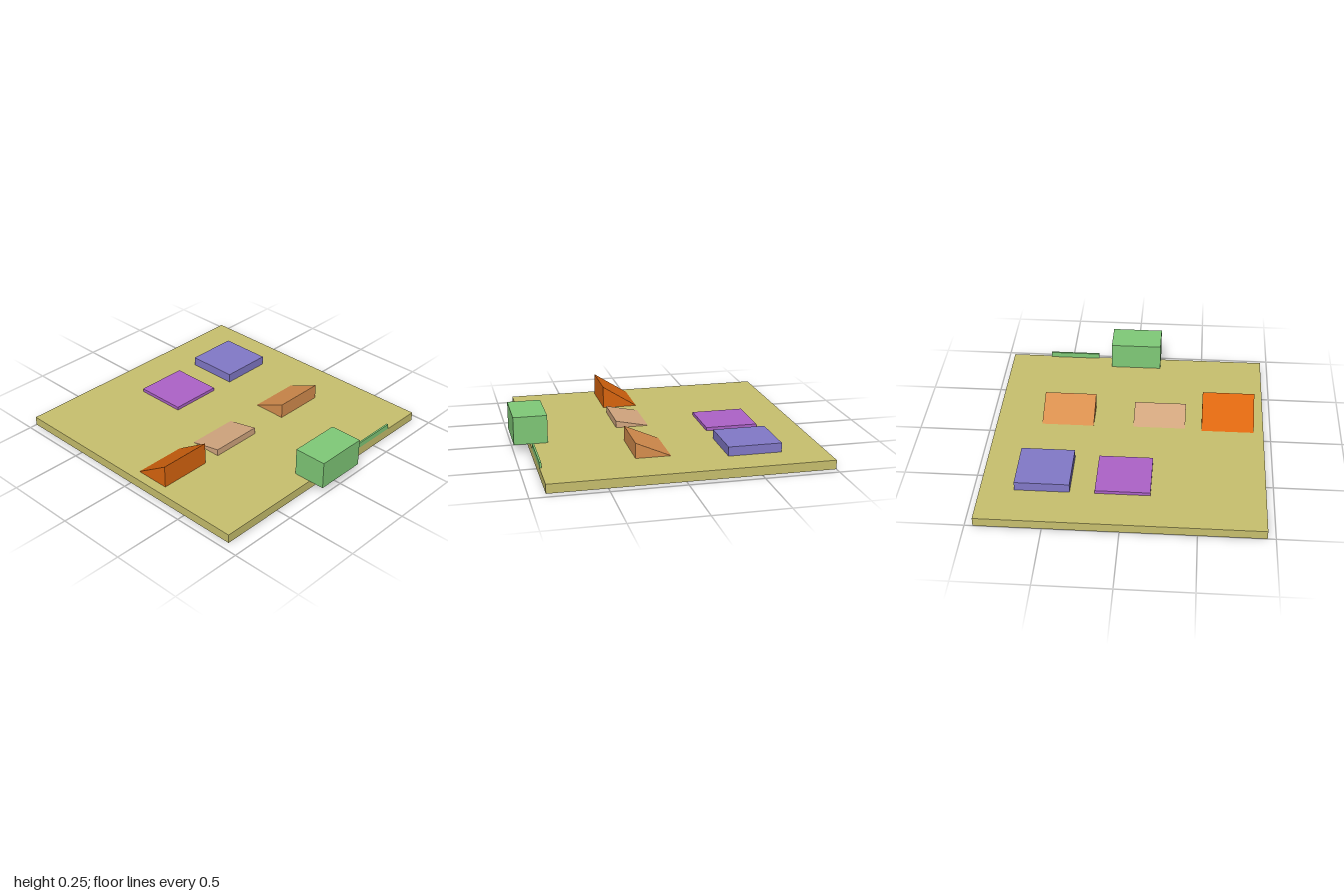
import * as THREE from 'three';

const TOP = 0.062; // height of the board's upper surface

export function createModel() {
  const model = new THREE.Group();

  function add(name, geometry, color) {
    const material = new THREE.MeshStandardMaterial({ color, flatShading: true });
    const mesh = new THREE.Mesh(geometry, material);
    mesh.name = name;
    model.add(mesh);
    return mesh;
  }

  // Box given by its limits on each axis
  function block(name, [x0, x1], [y0, y1], [z0, z1], color) {
    const geometry = new THREE.BoxGeometry(x1 - x0, y1 - y0, z1 - z0);
    geometry.translate((x0 + x1) / 2, (y0 + y1) / 2, (z0 + z1) / 2);
    return add(name, geometry, color);
  }

  // Wedge with an upright front face, sloping down to the back
  function ramp(name, [x0, x1], height, [z0, z1], color) {
    const side = new THREE.Shape([
      new THREE.Vector2(-z1, TOP),
      new THREE.Vector2(-z0, TOP),
      new THREE.Vector2(-z1, height),
    ]);
    const geometry = new THREE.ExtrudeGeometry(side, { depth: x1 - x0, bevelEnabled: false });
    geometry.rotateY(Math.PI / 2); // profile x becomes -z, depth becomes x
    geometry.translate(x0, 0, 0);
    return add(name, geometry, color);
  }

  // Board
  block('board', [-0.945, 0.945], [0, TOP], [-1, 0.89], 0xc8c06e);

  // Flat pads at the back
  block('lowPad', [-0.185, 0.182], [TOP, 0.085], [-0.705, -0.34], 0xad62c8);
  block('highPad', [0.348, 0.715], [TOP, 0.125], [-0.705, -0.34], 0x8279c8);

  // Row of ramps across the middle
  ramp('steepRamp', [-0.877, -0.51], 0.22, [0.013, 0.26], 0xdb660f);
  ramp('shallowRamp', [-0.393, -0.026], 0.11, [0.03, 0.26], 0xd6a981);
  ramp('mediumRamp', [0.255, 0.622], 0.167, [0.022, 0.26], 0xd9904f);

  // Tall block over the front edge and thin strip beside it
  block('frontBlock', [-0.185, 0.182], [TOP, 0.255], [0.77, 1], 0x80ca78);
  block('frontStrip', [0.29, 0.657], [TOP, 0.1], [0.877, 0.89], 0x80ca78);

  return model;
}
